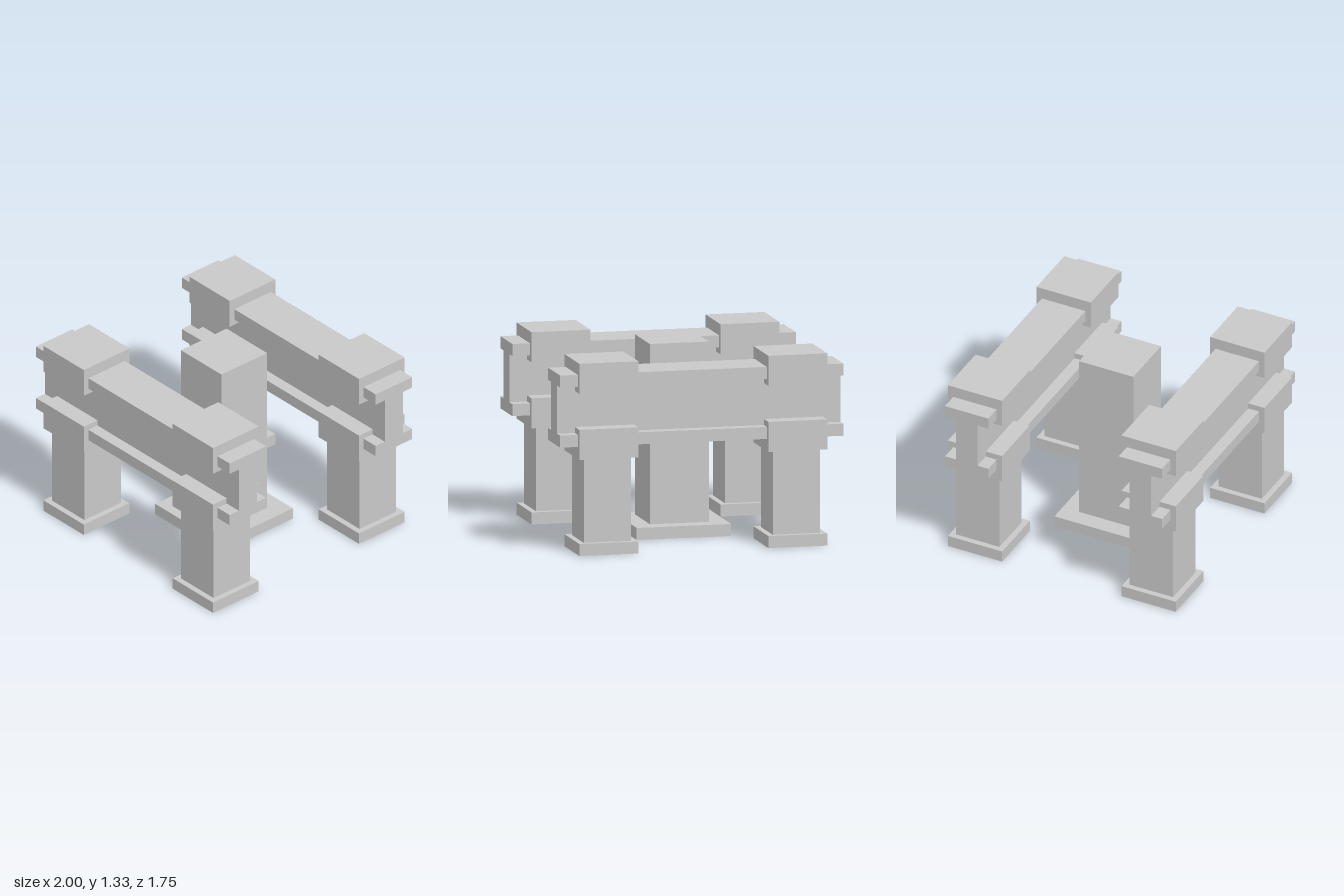
import * as THREE from 'three';

const U = 1 / 24; // modular unit

export function createModel() {
  const model = new THREE.Group();
  model.name = 'pillarsAndBeams';
  const stone = new THREE.MeshStandardMaterial({ color: 0xc9c9c9 });
  stone.name = 'light grey stone';

  // Square block: half width, bottom and top in units, centred at (x, z)
  function block(name, parent, half, bottom, top, x = 0, z = 0) {
    const geometry = new THREE.BoxGeometry(2 * half * U, (top - bottom) * U, 2 * half * U);
    const mesh = new THREE.Mesh(geometry, stone);
    mesh.name = name;
    mesh.position.set(x * U, ((bottom + top) / 2) * U, z * U);
    parent.add(mesh);
  }

  // Square outline of the given half width in units
  const square = (h) => [[-h, -h], [h, -h], [h, h], [-h, h]].map(([x, y]) => new THREE.Vector2(x * U, y * U));

  // Central pillar on a wide foot with a flush square core in its underside
  const centre = new THREE.Group();
  centre.name = 'centralPillar';
  const footShape = new THREE.Shape(square(8));
  footShape.holes.push(new THREE.Path(square(2)));
  const footGeometry = new THREE.ExtrudeGeometry(footShape, { depth: 2 * U, bevelEnabled: false });
  footGeometry.rotateX(-Math.PI / 2);
  const foot = new THREE.Mesh(footGeometry, stone);
  foot.name = 'centralFoot';
  centre.add(foot);
  block('footCore', centre, 2, 0, 2);
  block('centralShaft', centre, 5, 2, 32);
  model.add(centre);

  // I-shaped cross-section: flanges 8 wide and 2 thick, web 4 wide
  const half = [[4, 18], [4, 20], [2, 20], [2, 28], [4, 28], [4, 30]];
  const outline = [...half, ...half.map(([x, y]) => [-x, y]).reverse()];
  const section = new THREE.Shape(outline.map(([x, y]) => new THREE.Vector2(x * U, y * U)));
  const beamGeometry = new THREE.ExtrudeGeometry(section, { depth: 2, bevelEnabled: false });
  beamGeometry.translate(0, 0, -1).rotateY(Math.PI / 2);

  for (const side of [1, -1]) {
    const frame = new THREE.Group();
    frame.name = side > 0 ? 'frontFrame' : 'backFrame';

    const beam = new THREE.Mesh(beamGeometry, stone);
    beam.name = 'beam';
    beam.position.z = side * 16 * U;
    frame.add(beam);

    // Legs with foot, shaft and the two blocks gripping the beam flanges
    for (const end of [1, -1]) {
      const leg = new THREE.Group();
      leg.name = end > 0 ? 'leftLeg' : 'rightLeg';
      const x = end * 16, z = side * 16;
      block('foot', leg, 5, 0, 2, x, z);
      block('shaft', leg, 4, 2, 16, x, z);
      block('lowerClamp', leg, 5, 16, 21, x, z);
      block('upperClamp', leg, 5, 27, 32, x, z);
      frame.add(leg);
    }
    model.add(frame);
  }
  return model;
}
